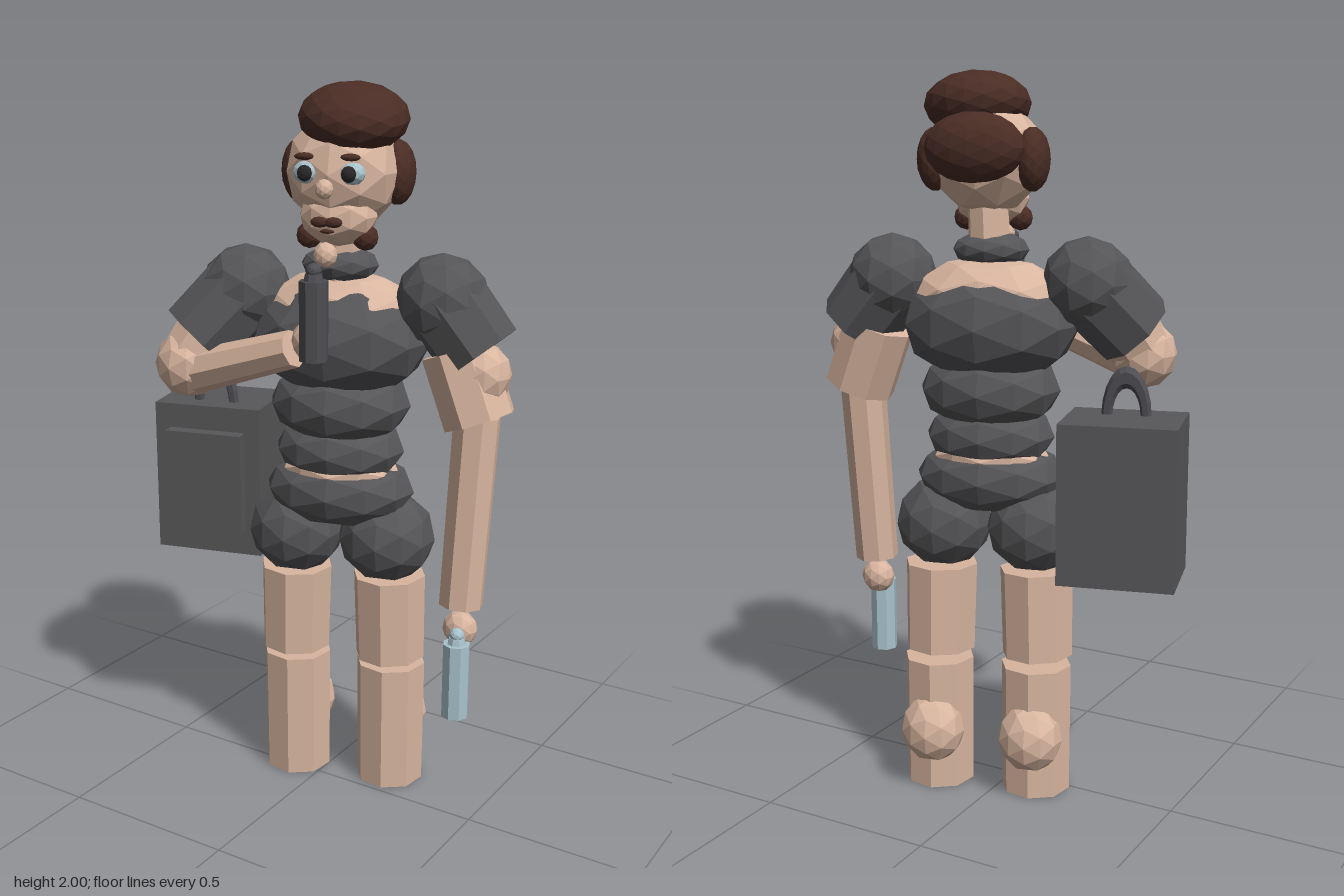
import * as THREE from 'three';

const mat = (name, color) => {
  const m = new THREE.MeshStandardMaterial({ color, flatShading: true });
  m.name = name;
  return m;
};

export function createModel() {
  const skin = mat('skin', 0xd8b59f);
  const cloth = mat('charcoal cloth', 0x555558);
  const hair = mat('brown hair', 0x4a2d25);
  const caseGrey = mat('case grey', 0x58585a);
  const metal = mat('dark metal', 0x4e4e53);
  const pale = mat('pale blue', 0xa9c3cc);
  const black = mat('pupil black', 0x2a2728);

  const model = new THREE.Group();
  model.name = 'figure';

  const add = (parent, name, geo, material) => {
    const mesh = new THREE.Mesh(geo, material);
    mesh.name = name;
    parent.add(mesh);
    return mesh;
  };
  // Faceted ellipsoid
  const ball = (parent, name, material, pos, radii, detail = 1) => {
    const mesh = add(parent, name, new THREE.IcosahedronGeometry(1, detail), material);
    mesh.position.set(...pos);
    mesh.scale.set(...radii);
    return mesh;
  };
  // Faceted cylinder from a to b
  const limb = (parent, name, material, a, b, ra, rb, sides = 8) => {
    const from = new THREE.Vector3(...a), to = new THREE.Vector3(...b);
    const dir = to.clone().sub(from);
    const mesh = add(parent, name, new THREE.CylinderGeometry(rb, ra, dir.length(), sides), material);
    mesh.position.copy(from).add(to).multiplyScalar(0.5);
    mesh.quaternion.setFromUnitVectors(new THREE.Vector3(0, 1, 0), dir.normalize());
    return mesh;
  };
  const turned = (name, x, z) => {
    const g = new THREE.Group();
    g.name = name;
    g.position.set(x, 0, z);
    g.rotation.y = 0.265;
    model.add(g);
    return g;
  };

  // Torso, stacked from overlapping faceted masses
  const body = turned('body', 0.055, -0.027);
  ball(body, 'upperChestSkin', skin, [0, 1.392, -0.005], [0.225, 0.122, 0.14]);
  ball(body, 'chest', cloth, [0, 1.33, 0], [0.25, 0.167, 0.186]);
  ball(body, 'abdomen', cloth, [0, 1.15, 0], [0.198, 0.118, 0.16]);
  ball(body, 'waist', cloth, [0, 1.02, 0], [0.182, 0.1, 0.142]);
  ball(body, 'waistSkin', skin, [0, 0.965, 0], [0.165, 0.06, 0.13]);
  ball(body, 'hips', cloth, [0, 0.905, 0], [0.212, 0.108, 0.152]);
  ball(body, 'collar', cloth, [0, 1.53, 0.01], [0.107, 0.05, 0.082]);
  limb(body, 'neck', skin, [0, 1.48, 0.005], [0.01, 1.68, 0.01], 0.06, 0.055);

  // Legs
  for (const s of [-1, 1]) {
    ball(body, 'shortsLeg', cloth, [s * 0.132, 0.766, -0.015], [0.138, 0.13, 0.132]);
    limb(body, 'thigh', skin, [s * 0.142, 0.4, -0.032], [s * 0.138, 0.65, -0.028], 0.1, 0.104);
    limb(body, 'shin', skin, [s * 0.142, 0.005, -0.047], [s * 0.142, 0.375, -0.045], 0.098, 0.1);
    ball(body, 'calf', skin, [s * 0.142, 0.18, -0.118], [0.092, 0.098, 0.085]);
  }

  // Head
  const head = turned('head', 0.07, -0.015);
  ball(head, 'skull', skin, [0, 1.775, 0], [0.155, 0.155, 0.15]);
  ball(head, 'jaw', skin, [0, 1.665, 0.05], [0.105, 0.08, 0.085]);
  ball(head, 'chin', skin, [-0.02, 1.568, 0.1], [0.032, 0.034, 0.03]);
  ball(head, 'nose', skin, [-0.006, 1.743, 0.158], [0.024, 0.026, 0.024]);
  const hairTop = ball(head, 'hairTop', hair, [0.03, 1.912, 0.015], [0.145, 0.088, 0.143], 2);
  hairTop.rotation.set(0.15, 0, -0.06);
  ball(head, 'hairBack', hair, [0.005, 1.8, -0.113], [0.137, 0.094, 0.075], 2);
  for (const s of [-1, 1]) {
    ball(head, 'hairSide', hair, [s * 0.134, 1.77, -0.04], [0.047, 0.085, 0.068], 2);
    ball(head, 'eye', pale, [s * 0.06 - 0.004, 1.78, 0.122], [0.036, 0.03, 0.026]);
    ball(head, 'pupil', black, [s * 0.058 - 0.004, 1.78, 0.145], [0.02, 0.021, 0.015]);
    ball(head, 'eyebrow', hair, [s * 0.06 - 0.008, 1.82, 0.125], [0.028, 0.01, 0.014]);
    ball(head, 'moustache', hair, [s * 0.018 - 0.008, 1.657, 0.132], [0.025, 0.014, 0.014]);
    ball(head, 'beardSide', hair, [s * 0.076 - 0.002, 1.612, 0.055], [0.035, 0.035, 0.032]);
  }
  ball(head, 'mouth', hair, [-0.008, 1.633, 0.125], [0.02, 0.006, 0.012]);

  // Raised right arm
  const rightArm = new THREE.Group();
  rightArm.name = 'rightArm';
  model.add(rightArm);
  ball(rightArm, 'shoulder', cloth, [-0.205, 1.447, 0.045], [0.126, 0.124, 0.124]);
  limb(rightArm, 'sleeve', cloth, [-0.205, 1.45, 0.045], [-0.302, 1.315, 0.14], 0.117, 0.113);
  limb(rightArm, 'upperArm', skin, [-0.26, 1.37, 0.1], [-0.318, 1.255, 0.16], 0.098, 0.085);
  ball(rightArm, 'elbow', skin, [-0.318, 1.248, 0.162], [0.094, 0.096, 0.093]);
  limb(rightArm, 'forearm', skin, [-0.31, 1.222, 0.172], [0.042, 1.335, 0.183], 0.062, 0.05);
  ball(rightArm, 'hand', skin, [0.085, 1.362, 0.185], [0.042, 0.052, 0.04]);

  // Hanging left arm
  const leftArm = new THREE.Group();
  leftArm.name = 'leftArm';
  model.add(leftArm);
  ball(leftArm, 'shoulder', cloth, [0.325, 1.447, -0.097], [0.126, 0.124, 0.124]);
  limb(leftArm, 'sleeve', cloth, [0.325, 1.45, -0.097], [0.435, 1.312, -0.114], 0.117, 0.112);
  limb(leftArm, 'upperArm', skin, [0.37, 1.32, -0.1], [0.442, 1.135, -0.1], 0.1, 0.1);
  ball(leftArm, 'biceps', skin, [0.442, 1.26, -0.1], [0.082, 0.087, 0.08]);
  limb(leftArm, 'forearm', skin, [0.44, 1.15, -0.09], [0.425, 0.62, -0.058], 0.064, 0.061);
  ball(leftArm, 'hand', skin, [0.43, 0.555, -0.048], [0.05, 0.05, 0.042]);

  // Hand-held canisters: barrel, neck ring and knob
  const canister = (name, material, x, y, z, height) => {
    const g = new THREE.Group();
    g.name = name;
    g.position.set(x, y, z);
    model.add(g);
    limb(g, 'barrel', material, [0, 0, 0], [0, height, 0], 0.038, 0.038);
    limb(g, 'barrelNeck', material, [0, height, 0], [0, height + 0.018, 0], 0.026, 0.022);
    ball(g, 'knob', material, [0, height + 0.025, 0], [0.021, 0.02, 0.021]);
  };
  canister('darkCanister', metal, 0.123, 1.32, 0.215, 0.205);
  canister('paleCanister', pale, 0.444, 0.315, -0.002, 0.215);

  // Carrying case with raised front panel and arched handle
  const bag = turned('case', -0.353, -0.031);
  const box = add(bag, 'caseBody', new THREE.BoxGeometry(0.314, 0.435, 0.242), caseGrey);
  box.position.y = 0.8875;
  const panel = add(bag, 'casePanel', new THREE.BoxGeometry(0.225, 0.29, 0.04), caseGrey);
  panel.position.set(0, 0.89, 0.139);
  const handle = add(bag, 'caseHandle', new THREE.TorusGeometry(0.053, 0.015, 6, 10, Math.PI), metal);
  handle.position.set(0.003, 1.1, 0.05);
  handle.scale.y = 2;

  return model;
}
